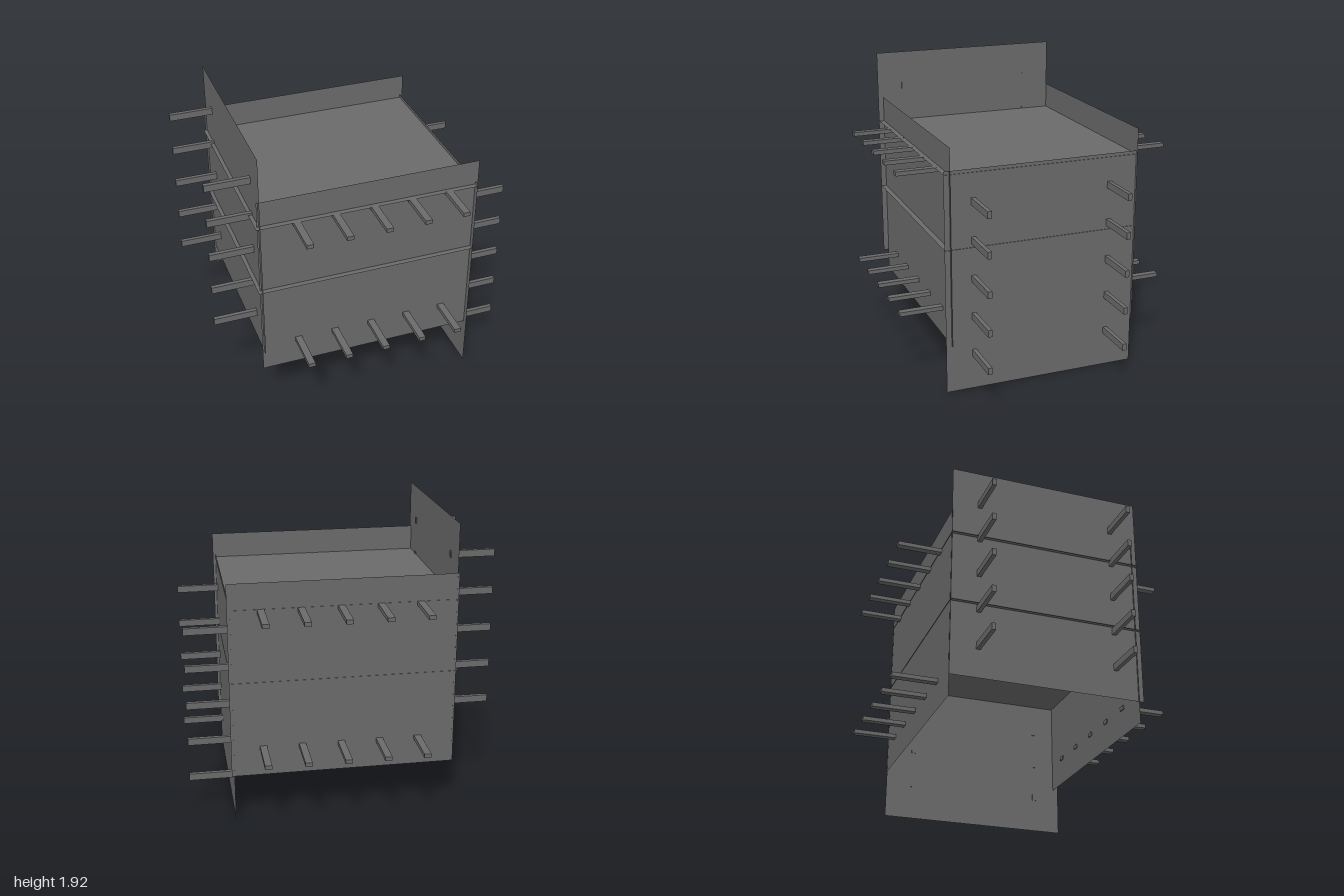
import * as THREE from 'three';

export function createModel() {
  const group = new THREE.Group();
  const sheetGrey = new THREE.MeshStandardMaterial({ color: 0x6a6a6a, side: THREE.DoubleSide });

  const W = 1.46, D = 1.29;   // every sheet has the same size
  const L = 0.29, T = 0.045, S = 0.027;   // peg length, width, thickness

  function panel(name, w, h, pos, rx = 0, ry = 0) {
    const mesh = new THREE.Mesh(new THREE.PlaneGeometry(w, h), sheetGrey);
    mesh.name = name;
    mesh.position.set(...pos);
    mesh.rotation.set(rx, ry, 0);
    group.add(mesh);
  }

  function pegs(name, size, positions) {
    const row = new THREE.Group();
    row.name = name;
    const geo = new THREE.BoxGeometry(...size);
    for (const p of positions) {
      const mesh = new THREE.Mesh(geo, sheetGrey);
      mesh.name = 'peg';
      mesh.position.set(...p);
      row.add(mesh);
    }
    group.add(row);
  }

  // upright sheets: the left one sits higher than the right one
  panel('frontPanel', W, D, [0.004, 0.965, 0.628]);
  panel('backPanel', W, D, [0.004, 0.965, -0.624], 0, Math.PI);
  panel('rightPanel', D, W, [-0.715, 1.195, 0.02], 0, -Math.PI / 2);
  panel('leftPanel', D, W, [0.715, 0.732, 0.02], 0, Math.PI / 2);

  // level sheets; the bottom is open
  panel('topPanel', W, D, [-0.01, 1.44, 0.018], -Math.PI / 2);
  panel('middleShelf', W, D, [-0.01, 0.96, 0.018], -Math.PI / 2);

  // pegs: two rows of five on each upright sheet
  const frontPegs = [], backPegs = [], leftPegs = [], rightPegs = [];
  for (let i = 0; i < 5; i++) {
    const x = -0.482 + i * 0.252;
    for (const y of [0.509, 1.427]) {
      frontPegs.push([x, y, 0.91 - L / 2]);
      backPegs.push([x, y, -0.915 + L / 2]);
    }
    for (const z of [0.478, -0.439]) {
      leftPegs.push([1 - L / 2, 0.25 + i * 0.252, z]);
      rightPegs.push([-1 + L / 2, 0.677 + i * 0.252, z]);
    }
  }
  pegs('frontPegs', [T, S, L], frontPegs);
  pegs('backPegs', [T, S, L], backPegs);
  pegs('leftPegs', [L, T, S], leftPegs);
  pegs('rightPegs', [L, T, S], rightPegs);

  return group;
}
